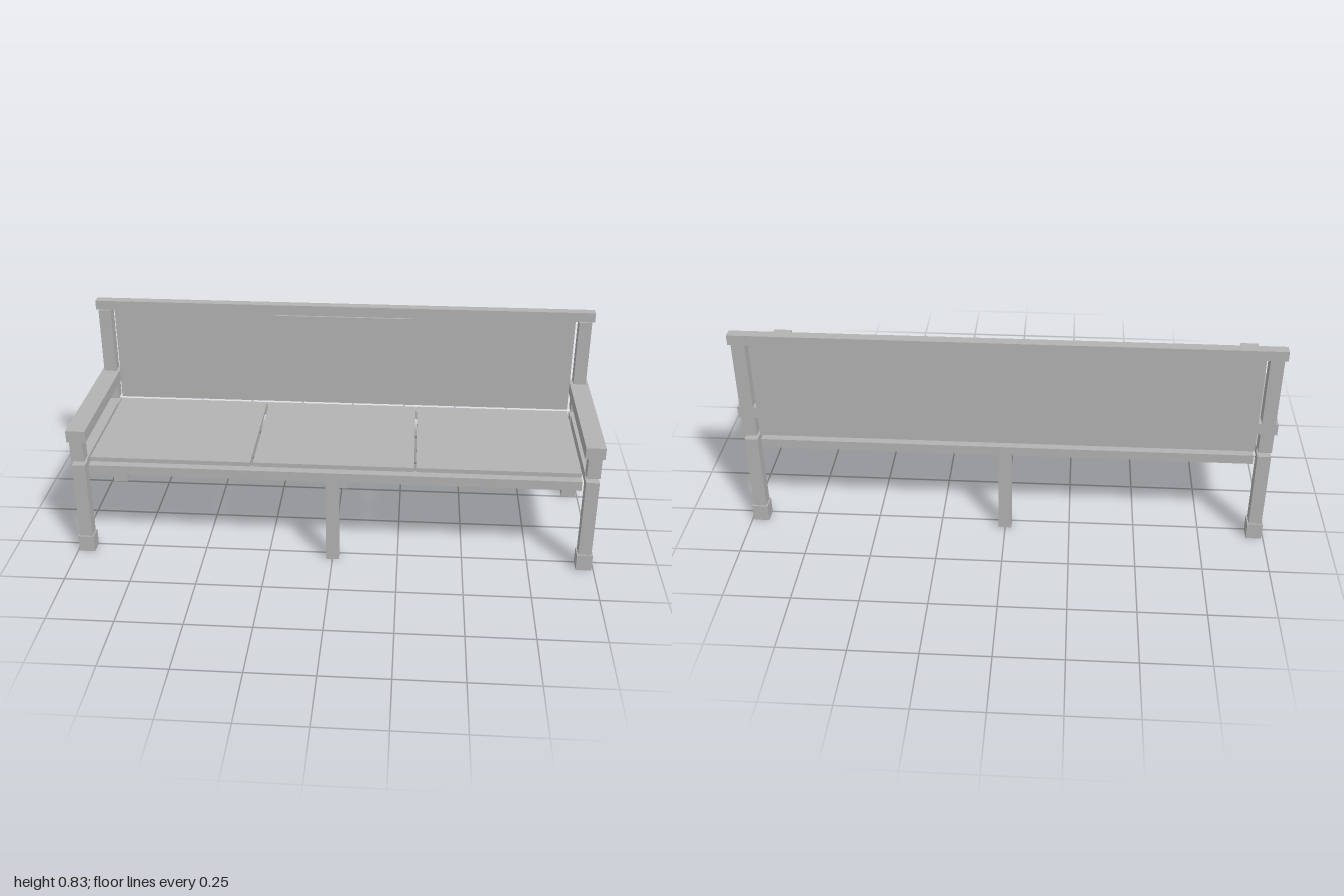
import * as THREE from 'three';

export function createModel() {
  const bench = new THREE.Group();
  bench.name = 'bench';
  const grey = new THREE.MeshStandardMaterial({ color: 0xb2b2b2 });
  grey.name = 'plain grey';

  // Box given by its lower and upper bounds on each axis
  function box(name, x0, x1, y0, y1, z0, z1) {
    const mesh = new THREE.Mesh(new THREE.BoxGeometry(x1 - x0, y1 - y0, z1 - z0), grey);
    mesh.position.set((x0 + x1) / 2, (y0 + y1) / 2, (z0 + z1) / 2);
    mesh.name = name;
    bench.add(mesh);
  }

  // The same box on the left (+x) and right (-x) ends
  function pair(name, x0, x1, ...rest) {
    box(name + 'Left', x0, x1, ...rest);
    box(name + 'Right', -x1, -x0, ...rest);
  }

  const seatY = 0.38, seatTop = 0.397, railY = 0.343;

  // Corner legs with wider feet
  pair('frontLeg', 0.938, 0.988, 0.067, seatY, 0.253, 0.3);
  pair('backLeg', 0.938, 0.988, 0.067, seatY, -0.3, -0.253);
  pair('frontFoot', 0.933, 0.993, 0, 0.067, 0.248, 0.306);
  pair('backFoot', 0.933, 0.993, 0, 0.067, -0.306, -0.248);

  // Middle legs
  box('frontMiddleLeg', -0.025, 0.025, 0, railY, 0.253, 0.295);
  box('backMiddleLeg', -0.025, 0.025, 0, railY, -0.295, -0.253);

  // Seat frame
  box('frontRail', -0.925, 0.925, railY, seatY, 0.253, 0.295);
  box('backRail', -0.925, 0.925, railY, seatY, -0.295, -0.253);
  pair('sideRail', 0.942, 0.984, railY, seatY, -0.253, 0.253);

  // Three seat panels with narrow gaps
  box('middleSeatPanel', -0.303, 0.303, seatY, seatTop, -0.262, 0.262);
  pair('seatPanel', 0.313, 0.925, seatY, seatTop, -0.262, 0.262);

  // Armrests and the posts above the seat
  pair('armrest', 0.925, 0.998, 0.478, 0.524, -0.3, 0.3);
  pair('frontPost', 0.938, 0.988, 0.398, 0.478, 0.253, 0.3);
  pair('backPost', 0.938, 0.988, 0.398, 0.79, -0.3, -0.253);

  // Backrest, its top rail and the small plaque
  box('backPanel', -0.925, 0.925, 0.403, 0.79, -0.3, -0.264);
  box('topRail', -1, 1, 0.79, 0.828, -0.3, -0.262);
  box('plaque', -0.277, 0.277, 0.77, 0.786, -0.264, -0.256);

  return bench;
}
